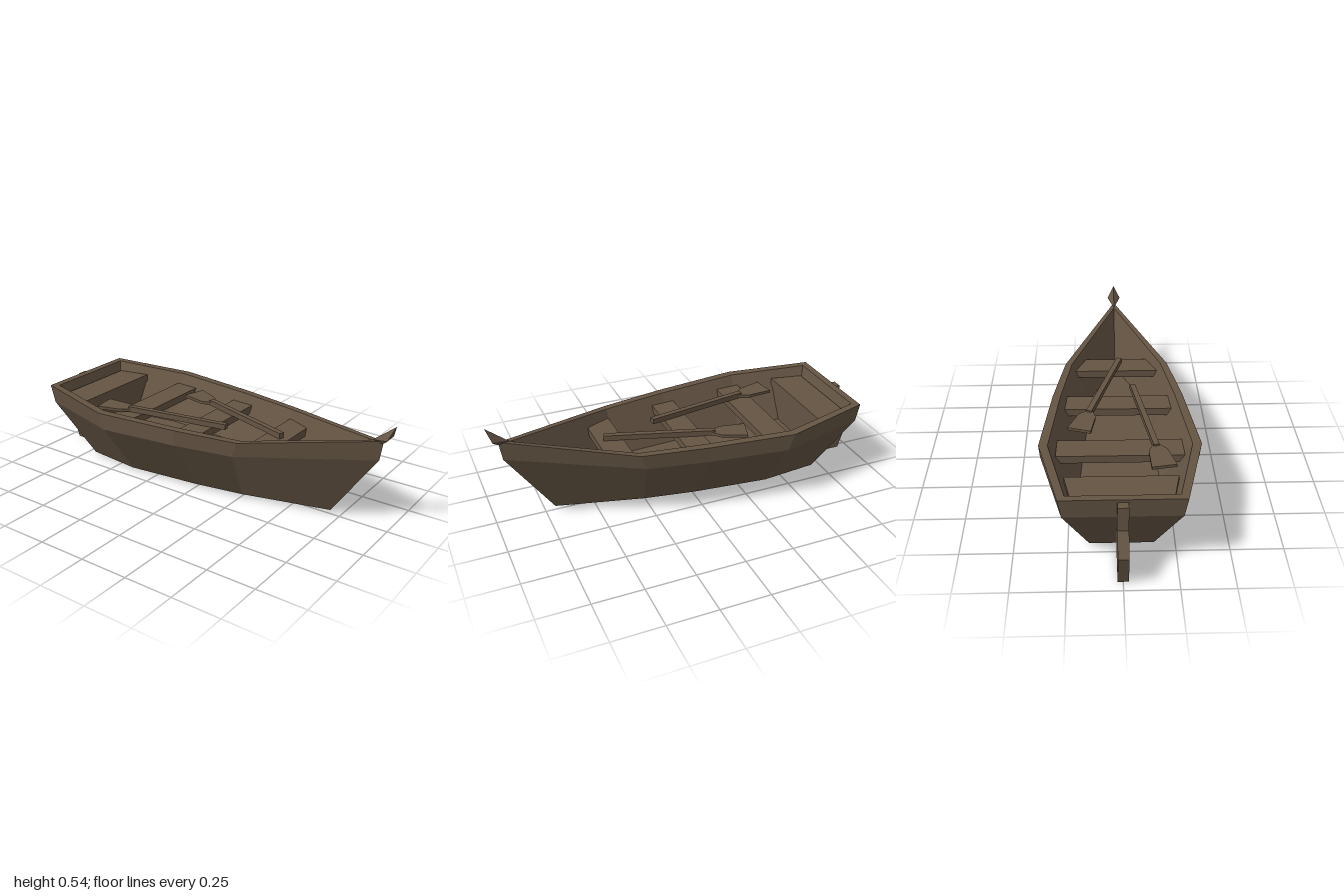
import * as THREE from 'three';
import { ConvexGeometry } from 'three/addons/geometries/ConvexGeometry.js';

// Two-sided because the hull shell is open underneath
const wood = new THREE.MeshStandardMaterial({ color: 0x645443, side: THREE.DoubleSide });
wood.name = 'weatheredWood';

const mirror = ([x, y, z]) => [x, y, -z];

function named(name, geo) {
  const mesh = new THREE.Mesh(geo, wood);
  mesh.name = name;
  return mesh;
}

// Flat-shaded quads: each quad is split along its first diagonal and keeps one normal
function quadMesh(name, quads) {
  const pos = [], nor = [];
  for (const quad of quads) {
    const [a, b, c, d] = quad.map(p => new THREE.Vector3(...p));
    const n = c.clone().sub(a).cross(d.clone().sub(b)).normalize();
    for (const p of [a, b, c, a, c, d]) {
      pos.push(p.x, p.y, p.z);
      nor.push(n.x, n.y, n.z);
    }
  }
  const geo = new THREE.BufferGeometry();
  geo.setAttribute('position', new THREE.Float32BufferAttribute(pos, 3));
  geo.setAttribute('normal', new THREE.Float32BufferAttribute(nor, 3));
  return named(name, geo);
}

// Planking between two hull lines on both sides, closed across the stern
function planking(low, high) {
  const side = low.slice(0, -1).map((a, i) => {
    const b = low[i + 1], c = high[i + 1], d = high[i];
    return i === 0 ? [a, b, c, d] : [b, c, d, a];
  });
  const otherSide = side.map(([a, b, c, d]) => [a, d, c, b].map(mirror));
  const stern = [mirror(low[0]), low[0], high[0], mirror(high[0])];
  return [...side, ...otherSide, stern];
}

function extrude(points, depth) {
  const shape = new THREE.Shape(points.map(p => new THREE.Vector2(...p)));
  return new THREE.ExtrudeGeometry(shape, { depth, bevelEnabled: false });
}

// Flat board: outline in (x, z), upper face at y = top
const slab = (name, outline, top, thickness) =>
  named(name, extrude(outline, thickness).rotateX(Math.PI / 2).translate(0, top, 0));

// Board symmetric about z = 0, with its own half width at each end
const bench = (name, x0, x1, w0, w1, top) =>
  slab(name, [[x0, -w0], [x1, -w1], [x1, w1], [x0, w0]], top, 0.04);

function makeOar(name, x, z, angle) {
  const oar = new THREE.Group();
  oar.name = name;
  const blade = slab('oarBlade', [[0, -0.06], [0.13, -0.045], [0.18, -0.012],
    [0.18, 0.012], [0.13, 0.045], [0, 0.06]], 0.355, 0.015);
  const shaft = named('oarShaft', new THREE.BoxGeometry(0.56, 0.028, 0.028));
  shaft.position.set(0.44, 0.35, 0);
  oar.add(blade, shaft);
  oar.position.set(x, 0, z);
  oar.rotation.y = angle;
  return oar;
}

export function createModel() {
  const boat = new THREE.Group();
  boat.name = 'rowingBoat';

  // Lengthwise lines of the hull, stern to bow, on the +z side
  const bottom = [[-0.70, 0.01, 0.15], [-0.40, 0.01, 0.182], [0, 0.013, 0.145], [0.26, 0.016, 0.105], [0.70, 0.02, 0]];
  const chine = [[-0.87, 0.31, 0.265], [-0.41, 0.30, 0.38], [0, 0.30, 0.328], [0.30, 0.30, 0.27], [0.93, 0.35, 0]];
  const sheer = [[-0.88, 0.41, 0.28], [-0.44, 0.385, 0.383], [0, 0.382, 0.332], [0.33, 0.38, 0.275], [0.945, 0.45, 0]];
  const rim = [[-0.845, 0.408, 0.25], [-0.44, 0.385, 0.34], [0, 0.382, 0.292], [0.33, 0.38, 0.24], [0.89, 0.443, 0]];
  const floorEdge = [[-0.76, 0.15, 0.14], [-0.41, 0.15, 0.195], [0, 0.15, 0.165], [0.34, 0.15, 0.145], [0.68, 0.15, 0]];

  boat.add(quadMesh('lowerHull', planking(bottom, chine)));
  boat.add(quadMesh('upperStrake', planking(chine, sheer)));
  boat.add(quadMesh('gunwale', planking(sheer, rim)));
  // Inner wall faces inward, so its corners run the other way round
  boat.add(quadMesh('innerWall', planking(floorEdge, rim).map(([a, b, c, d]) => [a, d, c, b])));

  // Raised floor, meeting the inner wall
  boat.add(quadMesh('floor', floorEdge.slice(0, -1).map((p, i) =>
    [p, floorEdge[i + 1], mirror(floorEdge[i + 1]), mirror(p)])));

  // Seats across the hull
  boat.add(bench('sternSeat', -0.82, -0.65, 0.225, 0.26, 0.36));
  boat.add(bench('rearThwart', -0.46, -0.33, 0.305, 0.30, 0.335));
  boat.add(bench('middleThwart', -0.055, 0.07, 0.275, 0.262, 0.335));
  boat.add(bench('frontThwart', 0.33, 0.46, 0.225, 0.165, 0.335));

  // Board closing the front of the stern seat
  const panel = extrude([[-0.155, 0.15], [0.155, 0.15], [0.25, 0.32], [-0.25, 0.32]], 0.02);
  boat.add(named('sternSeatPanel', panel.rotateY(Math.PI / 2).translate(-0.672, 0, 0)));

  // Oars resting on the thwarts
  boat.add(makeOar('leftOar', -0.57, 0.20, 0.167));
  boat.add(makeOar('rightOar', -0.265, -0.195, -0.30));

  // Rudder hung behind the transom
  const rudder = extrude([[-0.945, 0], [-0.70, 0], [-0.70, 0.012], [-0.87, 0.31],
    [-0.88, 0.395], [-0.917, 0.395], [-0.917, 0.27], [-1, 0.18]], 0.05);
  boat.add(named('rudder', rudder.translate(0, 0, -0.025)));

  // Pointed bow finial
  boat.add(named('bowFinial', new ConvexGeometry([
    [0.89, 0.445, 0], [0.945, 0.44, 0.01], [0.945, 0.44, -0.01],
    [0.975, 0.47, 0.036], [0.975, 0.47, -0.036], [1, 0.535, 0],
  ].map(p => new THREE.Vector3(...p)))));

  return boat;
}
